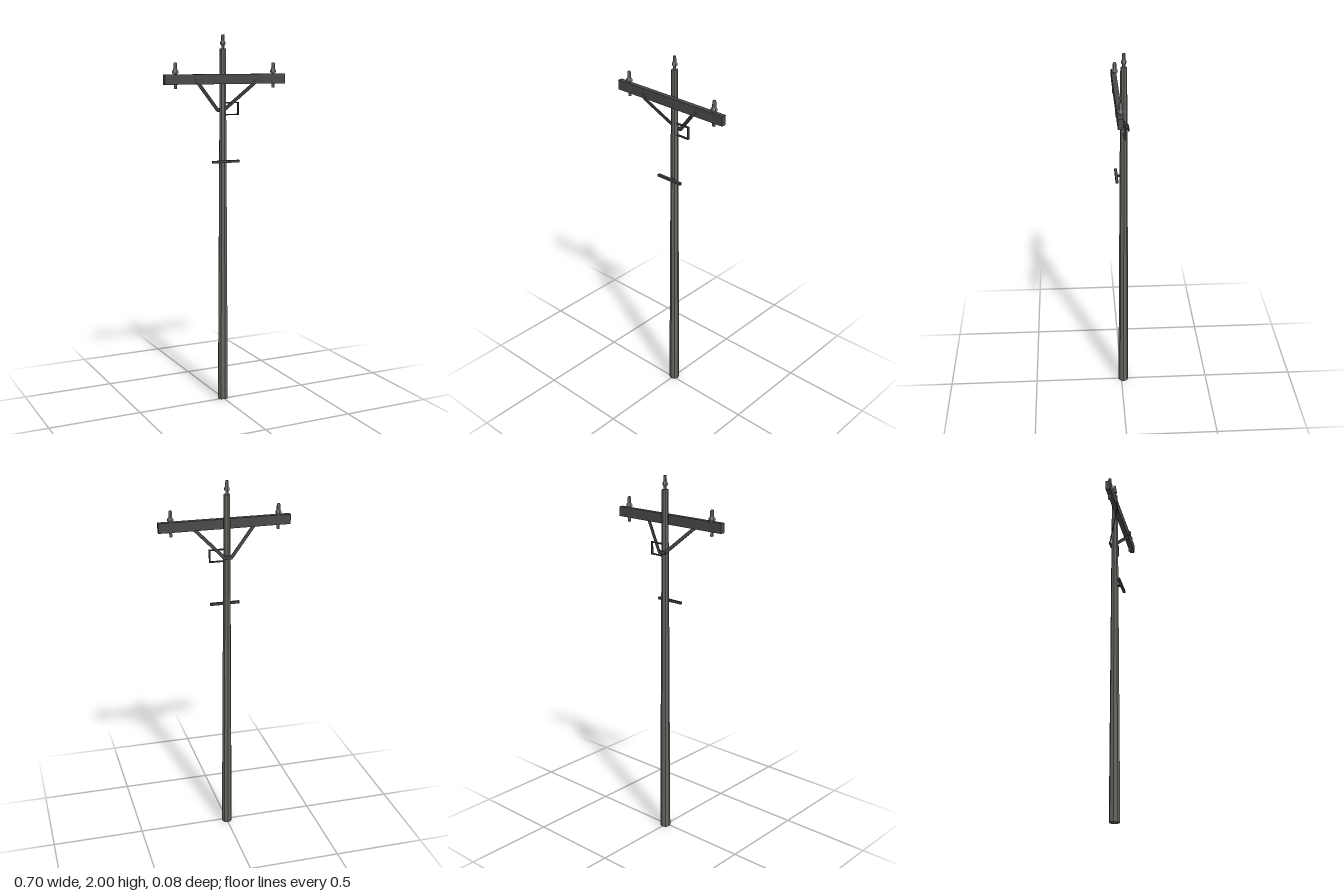
import * as THREE from 'three';

const POLE_Z = -0.0115;

function material(color) {
  return new THREE.MeshStandardMaterial({ color, flatShading: true });
}

export function createModel() {
  const model = new THREE.Group();
  model.name = 'utilityPole';
  const poleMat = material(0x666662);
  const woodMat = material(0x4a4a4c);
  const metalMat = material(0x444446);
  const insulatorMat = material(0x77777a);

  function add(name, geometry, mat, x = 0, y = 0, z = 0) {
    const mesh = new THREE.Mesh(geometry, mat);
    mesh.name = name;
    mesh.position.set(x, y, z);
    model.add(mesh);
    return mesh;
  }
  const box = (name, mat, w, h, d, x, y, z) =>
    add(name, new THREE.BoxGeometry(w, h, d), mat, x, y, z);
  const lathe = (points, sides) =>
    new THREE.LatheGeometry(points.map(([r, y]) => new THREE.Vector2(r, y)), sides);

  // Flat strap between two points, its broad face turned towards the front
  function strap(name, a, b, width, thickness) {
    const along = b.clone().sub(a);
    const length = along.length();
    along.normalize();
    const side = new THREE.Vector3().crossVectors(along, new THREE.Vector3(0, 0, 1)).normalize();
    const normal = new THREE.Vector3().crossVectors(side, along);
    const mesh = add(name, new THREE.BoxGeometry(width, length, thickness), metalMat);
    mesh.quaternion.setFromRotationMatrix(new THREE.Matrix4().makeBasis(side, along, normal));
    mesh.position.copy(a).add(b).multiplyScalar(0.5);
  }

  // Tapered pole
  add('pole', lathe([[0, 0], [0.029, 0], [0.0225, 1.1], [0.017, 1.93], [0, 1.93]], 8),
    poleMat, 0, 0, POLE_Z);

  // Crossarm and the small bar lower down
  box('crossarm', woodMat, 0.7, 0.052, 0.026, 0, 1.771, 0.024);
  box('lowerBar', metalMat, 0.158, 0.013, 0.014, 0, 1.335, 0.027);
  box('lowerBarMount', metalMat, 0.012, 0.01, 0.022, 0, 1.335, 0.012);

  // Braces from the back of the pole to the front of the crossarm
  for (const s of [-1, 1]) {
    const foot = new THREE.Vector3(s * 0.018, 1.605, -0.037);
    const bend = new THREE.Vector3(s * 0.158, 1.744, 0.037);
    const tip = new THREE.Vector3(s * 0.182, 1.768, 0.037);
    strap('brace', foot, bend, 0.018, 0.004);
    strap('braceEnd', bend, tip, 0.018, 0.004);
  }
  box('braceFoot', metalMat, 0.044, 0.02, 0.006, 0, 1.606, -0.036);

  // Insulators: two on the crossarm, one on top of the pole
  const armProfile = [[0, -0.075], [0.008, -0.075], [0.008, 0.006], [0.017, 0.006],
    [0.017, 0.016], [0.01, 0.027], [0.01, 0.052], [0.007, 0.06], [0, 0.06]];
  for (const s of [-1, 1]) {
    add('armInsulator', lathe(armProfile, 6), insulatorMat, s * 0.285, 1.797, 0.02);
  }
  const topProfile = [[0, -0.02], [0.008, -0.02], [0.008, 0.015], [0.014, 0.022],
    [0.014, 0.032], [0.009, 0.04], [0.008, 0.07], [0, 0.07]];
  add('topInsulator', lathe(topProfile, 6), insulatorMat, 0, 1.93, POLE_Z);

  // Square bracket on the left side of the pole
  for (const y of [1.582, 1.645]) {
    box('bracketArm', metalMat, 0.085, 0.006, 0.011, 0.0525, y, -0.0125);
  }
  box('bracketUpright', metalMat, 0.007, 0.069, 0.011, 0.0915, 1.6135, -0.0125);

  return model;
}
